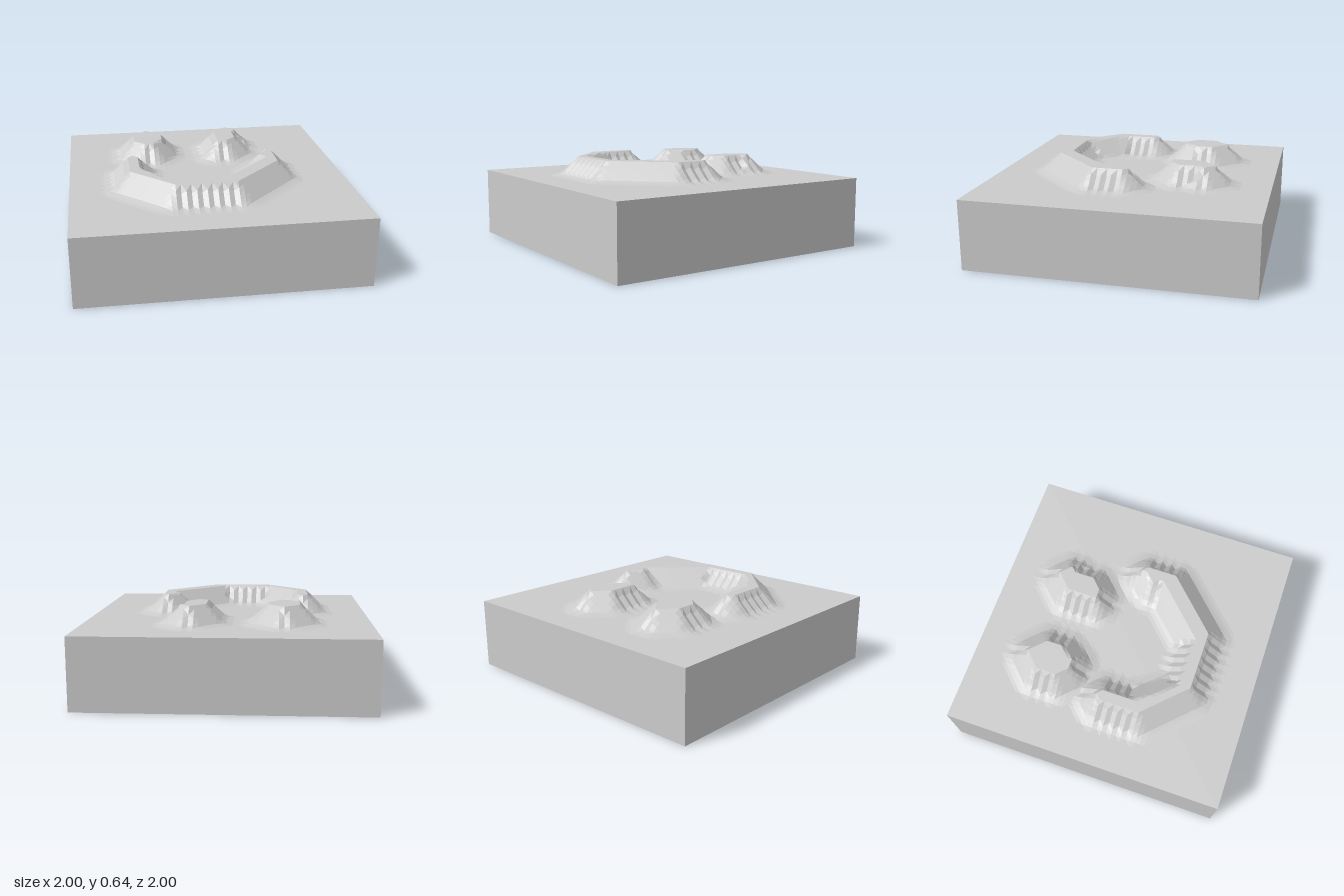
import * as THREE from 'three';

const STEP = 1 / 28, BASE = 0.5, RISE = 0.14;
const material = new THREE.MeshStandardMaterial({ color: 0xcccccc, flatShading: true });

// Plateau outlines as [x, z] in half-cell units
const outlines = {
  rightEye: [[-11, -17], [-8, -14], [-8, -11], [-10, -8], [-12, -8], [-14, -10], [-14, -14]],
  leftEye: [[7, -17], [9, -15], [8, -14], [8, -10], [6, -8], [4, -8], [4, -11], [4, -14]],
  mouth: [[-15, -1], [-14, 0], [-14, 6], [-12, 9], [-8, 14], [2, 14], [12, 4], [11, 2],
    [13, -1], [14, 0], [14, 6], [4, 16], [-8, 16], [-16, 8], [-16, 0]],
};

// Nearest offset from a point to the outline; zero inside
function offsetFrom(outline, x, z) {
  let best = [0, 0], bestD = Infinity, inside = false;
  outline.forEach(([ax, az], i) => {
    const [bx, bz] = outline[(i + 1) % outline.length];
    const ux = bx - ax, uz = bz - az;
    const t = THREE.MathUtils.clamp(((x - ax) * ux + (z - az) * uz) / (ux * ux + uz * uz), 0, 1);
    const dx = x - ax - t * ux, dz = z - az - t * uz, d = Math.hypot(dx, dz);
    if (d < bestD) { bestD = d; best = [dx, dz]; }
    if ((az > z) !== (bz > z) && x < ax + (z - az) / uz * ux) inside = !inside;
  });
  return inside ? [0, 0] : best;
}

// Steep bank with a shallow toe, notched on the straight runs
function heightAt(outline, x, z) {
  const [dx, dz] = offsetFrom(outline, x, z);
  let d = Math.hypot(dx, dz) * STEP;
  if (d < 1e-4) return RISE;
  const notch = (Math.abs(dz) < 0.01 && z % 2 !== 0) || (Math.abs(dx) < 0.01 && x % 2 !== 0);
  if (notch) d += 0.02;
  if (d < 0.13) return RISE - d * (0.125 / 0.13);
  return Math.max(0, 0.015 * (0.19 - d) / 0.06);
}

// Faceted raised patch built from the grid cells around an outline
function makeRelief(name, outline) {
  const xs = outline.map(p => p[0]), zs = outline.map(p => p[1]);
  const positions = [];
  const corner = (x, z) => new THREE.Vector3(x * STEP, BASE + heightAt(outline, x, z), z * STEP);
  const addTriangle = (...points) => {
    if (points.some(p => p.y > BASE + 1e-5)) points.forEach(p => positions.push(p.x, p.y, p.z));
  };
  for (let x = Math.min(...xs) - 6; x < Math.max(...xs) + 6; x++) {
    for (let z = Math.min(...zs) - 6; z < Math.max(...zs) + 6; z++) {
      const a = corner(x, z), b = corner(x, z + 1), c = corner(x + 1, z + 1), d = corner(x + 1, z);
      // Split along the flatter diagonal
      if (Math.abs(a.y - c.y) < Math.abs(b.y - d.y)) {
        addTriangle(a, b, c);
        addTriangle(a, c, d);
      } else {
        addTriangle(a, b, d);
        addTriangle(b, c, d);
      }
    }
  }
  const geometry = new THREE.BufferGeometry();
  geometry.setAttribute('position', new THREE.Float32BufferAttribute(positions, 3));
  geometry.computeVertexNormals();
  const mesh = new THREE.Mesh(geometry, material);
  mesh.name = name;
  return mesh;
}

export function createModel() {
  const model = new THREE.Group();
  model.name = 'faceReliefBlock';

  // Square block
  const base = new THREE.Mesh(new THREE.BoxGeometry(2, BASE, 2), material);
  base.name = 'base';
  base.position.y = BASE / 2;
  model.add(base);

  // Raised eyes and mouth
  for (const [name, outline] of Object.entries(outlines)) model.add(makeRelief(name, outline));
  return model;
}
